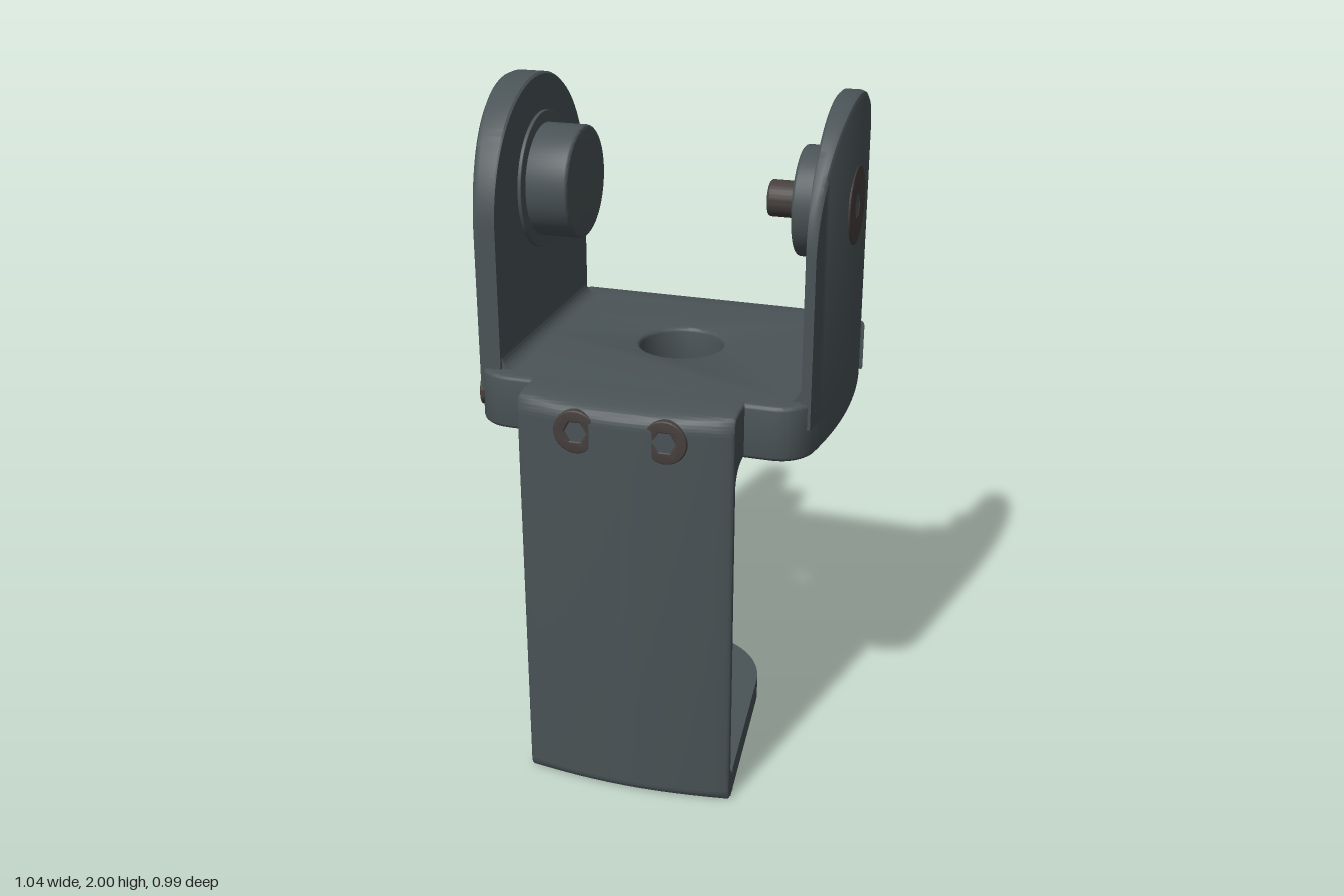
import * as THREE from 'three';
import { toCreasedNormals } from 'three/addons/utils/BufferGeometryUtils.js';

const body = new THREE.MeshStandardMaterial({ color: 0x4a5356 });
const steel = new THREE.MeshStandardMaterial({ color: 0x453f3d });
const ZC = -0.065; // shared axis depth of both joints
const YC = 1.69; // height of the upper joint axis
const outerX = (z) => 0.52 - 0.28 * z * z; // bowed side, z measured from ZC

function mesh(name, geo, mat = body, crease = 0.6) {
  const m = new THREE.Mesh(toCreasedNormals(geo, crease), mat);
  m.name = name;
  return m;
}

function extrude(shape, depth, bevel = 0, steps = 1) {
  const g = new THREE.ExtrudeGeometry(shape, {
    depth: depth - 2 * bevel, steps, curveSegments: 32, bevelEnabled: bevel > 0,
    bevelThickness: bevel, bevelSize: bevel, bevelOffset: -bevel, bevelSegments: 3,
  });
  return g.translate(0, 0, bevel);
}

const circle = (r, x = 0, y = 0) => new THREE.Shape().absarc(x, y, r, 0, Math.PI * 2);

function polygon(n, r, turn = 0) {
  const pts = [];
  for (let i = 0; i < n; i++) {
    const a = turn + (i / n) * Math.PI * 2;
    pts.push(new THREE.Vector2(r * Math.cos(a), r * Math.sin(a)));
  }
  return new THREE.Path(pts);
}

// Round boss along +z with an optional hole
function boss(name, r, depth, hole, bevel = 0.01) {
  const s = circle(r);
  if (hole) s.holes.push(hole);
  return mesh(name, extrude(s, depth, bevel));
}

// Flat screw head facing +z with a hex socket
function screw(name, r, hex, depth = 0.03) {
  const g = new THREE.Group();
  g.name = name;
  const s = circle(r);
  s.holes.push(polygon(6, hex));
  g.add(mesh('screwHead', extrude(s, depth, 0.004), steel));
  const floor = mesh('socketFloor', new THREE.CircleGeometry(hex * 1.2, 16), steel);
  floor.position.z = depth * 0.3;
  g.add(floor);
  return g;
}

function place(o, x, y, z, rx = 0, ry = 0) {
  o.position.set(x, y, z);
  o.rotation.set(rx, ry, 0);
  return o;
}

// Arched arm with a bowed outer face, lofted along z
function arm(name, inner) {
  const R = 0.365, N = 48, K = 7, b = 0.018, pos = [], idx = [];
  for (let i = 0; i <= N; i++) {
    const t = (i / N) * Math.PI;
    const z = -R * Math.cos(t), h = 1.635 + R * Math.sin(t), x = outerX(z);
    const ring = [[inner, 1.15], [x, 1.15], [x, h - b], [x - b * 0.3, h - b * 0.3],
      [x - b, h], [inner + 0.006, h], [inner, h - 0.006]];
    for (const [px, py] of ring) pos.push(px, py, z);
  }
  for (let i = 0; i < N; i++) {
    for (let k = 0; k < K; k++) {
      const a = i * K + k, c = i * K + ((k + 1) % K);
      idx.push(a, c, c + K, a, c + K, a + K);
    }
  }
  for (let j = 1; j < K - 1; j++) {
    idx.push(0, j + 1, j, N * K, N * K + j, N * K + j + 1);
  }
  const geo = new THREE.BufferGeometry();
  geo.setAttribute('position', new THREE.Float32BufferAttribute(pos, 3));
  geo.setIndex(idx);
  const g = new THREE.Group();
  g.name = name;
  g.add(mesh('archedArm', geo));
  // Fillet where the arm meets the plate
  const r = 0.04;
  const f = new THREE.Shape().moveTo(0.01, -0.01).lineTo(0.01, r).lineTo(0, r);
  f.absarc(-r, r, r, 0, -Math.PI / 2, true).lineTo(-r, -0.01);
  g.add(place(mesh('armFillet', extrude(f, 2 * R - 0.02)), inner, 1.225, -R + 0.01));
  return g;
}

// Middle plate with bowed sides and a through hole
function plate() {
  const s = new THREE.Shape().moveTo(-0.43, 0.495).lineTo(-0.5, 0.415);
  const pts = [];
  for (let i = 0; i <= 20; i++) pts.push(0.345 - (i / 20) * 0.68);
  for (const d of pts) s.lineTo(-outerX(d), d - ZC);
  s.quadraticCurveTo(-0.46, -0.345, -0.38, -0.345).lineTo(0.38, -0.35);
  s.quadraticCurveTo(0.46, -0.35, outerX(-0.335), -0.335 - ZC);
  for (const d of pts.reverse()) s.lineTo(outerX(d), d - ZC);
  s.lineTo(0.5, 0.4).lineTo(0.44, 0.48).closePath();
  s.holes.push(circle(0.125, 0.01, -ZC));
  return place(mesh('middlePlate', extrude(s, 0.16, 0.012).rotateX(-Math.PI / 2)), 0, 1.065, 0);
}

// Upright strap: side profile swept across x, front face bowed
function strap() {
  const s = new THREE.Shape().moveTo(0.42, 0).lineTo(0.455, 0);
  s.quadraticCurveTo(0.49, 0, 0.49, 0.035).lineTo(0.49, 1.17);
  s.quadraticCurveTo(0.49, 1.212, 0.44, 1.22).lineTo(0.4, 1.226).lineTo(0.31, 1.226);
  s.lineTo(0.31, 1.067).lineTo(0.36, 1.067).quadraticCurveTo(0.43, 1.06, 0.43, 0.99);
  s.lineTo(0.43, 0.11).quadraticCurveTo(0.43, 0.075, 0.395, 0.075).lineTo(0.395, 0);
  const g = extrude(s, 0.62, 0.008, 16).rotateY(-Math.PI / 2).translate(0.31, 0, 0);
  const p = g.attributes.position;
  for (let i = 0; i < p.count; i++) {
    const x = p.getX(i), z = p.getZ(i);
    const w = THREE.MathUtils.clamp((z - 0.435) / 0.05, 0, 1);
    p.setZ(i, z - 0.36 * x * x * w);
  }
  return mesh('frontStrap', g);
}

// Foot: tapered tongue with a rounded end and countersunk hole
function foot() {
  const g = new THREE.Group();
  g.name = 'foot';
  const s = new THREE.Shape().moveTo(-0.31, -0.43).lineTo(0.31, -0.43);
  s.absarc(0, 0.06, 0.26, 0.1, Math.PI - 0.1).closePath();
  s.holes.push(circle(0.1, 0, 0.06));
  g.add(mesh('footPlate', extrude(s, 0.075).rotateX(-Math.PI / 2)));
  const liner = [[0.1, 0], [0.06, 0.04], [0.06, 0.074], [0.125, 0.074]];
  const lathe = new THREE.LatheGeometry(liner.map(([x, y]) => new THREE.Vector2(x, y)), 40);
  const sink = mesh('countersink', lathe, body.clone());
  sink.material.side = THREE.DoubleSide;
  g.add(place(sink, 0, 0, -0.06));
  const b = boss('footBoss', 0.158, 0.1, polygon(4, 0.12, Math.PI / 4));
  g.add(place(b, 0, 0.068, -0.06, -Math.PI / 2));
  return g;
}

export function createModel() {
  const model = new THREE.Group();
  model.name = 'swivelBracket';
  const H = Math.PI / 2;
  model.add(plate(), strap(), foot());

  // Side arms
  model.add(place(arm('leftArm', 0.455), 0, 0, ZC));
  model.add(place(arm('rightArm', 0.42), 0, 0, ZC, 0, Math.PI));

  // Sleeve below the plate
  model.add(place(boss('lowerSleeve', 0.167, 0.145, circle(0.125), 0.012), 0.01, 1.075, ZC, H));
  model.add(place(boss('lowerCollar', 0.205, 0.02, circle(0.125), 0.002), 0.01, 1.075, ZC, H));

  // Solid pivot on the right arm
  model.add(place(boss('rightPivot', 0.165, 0.145), -0.43, YC, -0.075, 0, H));
  model.add(place(boss('rightCollar', 0.2, 0.02, null, 0.002), -0.43, YC, -0.075, 0, H));

  // Square-socketed pivot, pin and screw on the left arm
  const socket = boss('leftPivot', 0.156, 0.1, polygon(4, 0.12, Math.PI / 4));
  model.add(place(socket, 0.465, YC, -0.06, 0, -H));
  model.add(place(boss('leftPin', 0.052, 0.19, null, 0.008), 0.46, YC, -0.06, 0, -H).translateZ(0));
  model.getObjectByName('leftPin').material = steel;
  model.add(place(screw('pivotScrew', 0.112, 0.035), 0.492, YC, -0.055, 0, H));

  // Small fixing screws
  for (const x of [-0.13, 0.125]) {
    model.add(place(screw('strapScrew', 0.063, 0.032), x, 1.145, 0.457));
  }
  for (const z of [-0.385, 0.255]) {
    const tilt = 0.56 * (z - ZC);
    model.add(place(screw('sideScrew', 0.045, 0.024), -outerX(z - ZC) + 0.026, 1.145, z, 0, -H + tilt));
  }
  return model;
}
